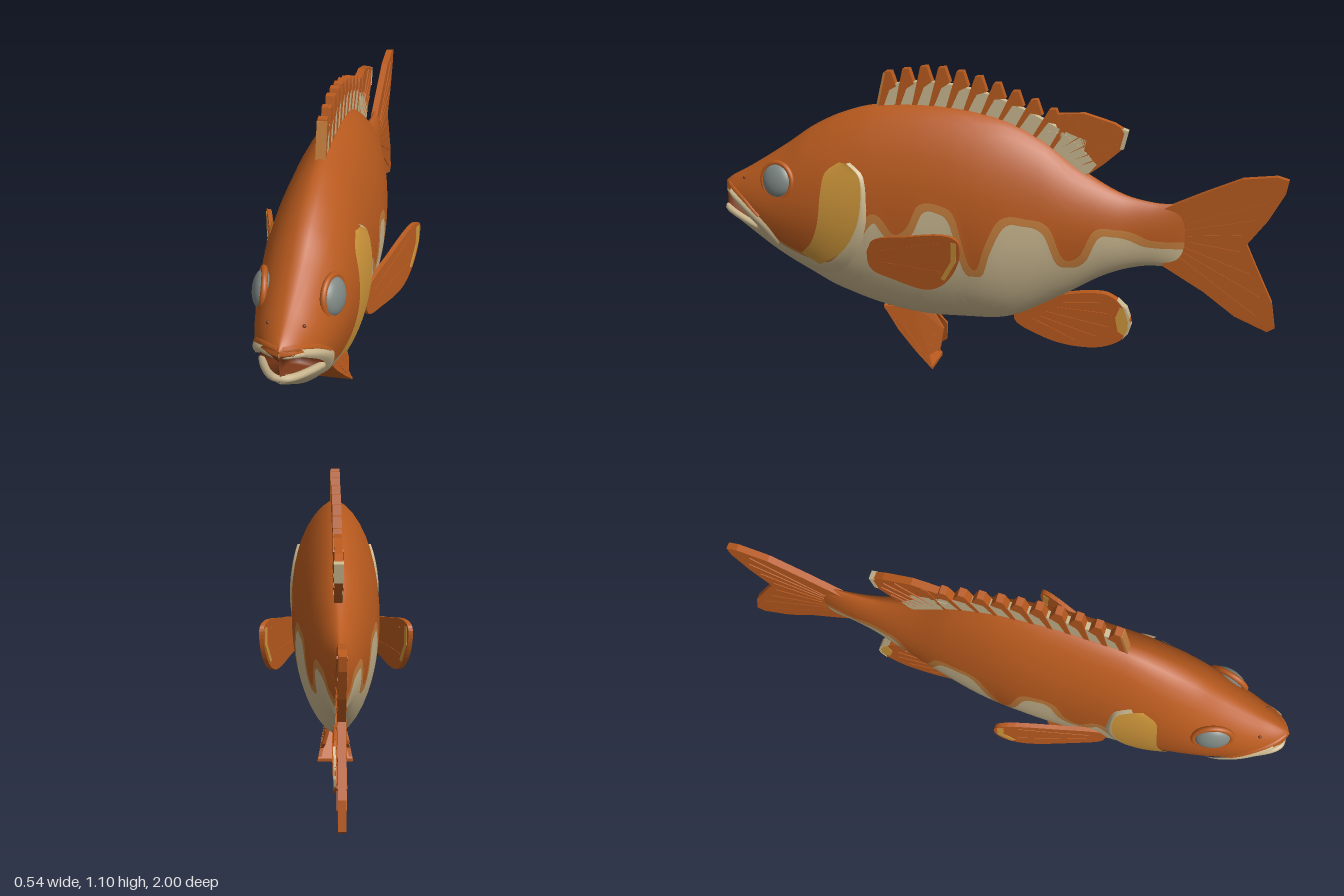
import * as THREE from 'three';

const mat = (name, color) => {
  const m = new THREE.MeshStandardMaterial({ color });
  m.name = name;
  return m;
};
const orange = mat('rust orange', 0xb85a1e);
const cream = mat('belly cream', 0xcab78f);
const tan = mat('tan border', 0xc17c3c);
const gold = mat('gill gold', 0xcd953a);
const dark = mat('mouth brown', 0x7a3818);
const grey = mat('eye grey', 0x7f8884);

// Smooth interpolation through [z, value] pairs sorted by z
function curve(pts) {
  const slope = (i) => {
    const a = pts[Math.max(i - 1, 0)], b = pts[Math.min(i + 1, pts.length - 1)];
    return (b[1] - a[1]) / (b[0] - a[0]);
  };
  return (z) => {
    if (z <= pts[0][0]) return pts[0][1];
    if (z >= pts[pts.length - 1][0]) return pts[pts.length - 1][1];
    let i = 0;
    while (z > pts[i + 1][0]) i++;
    const h = pts[i + 1][0] - pts[i][0], t = (z - pts[i][0]) / h, t2 = t * t, t3 = t2 * t;
    return (2 * t3 - 3 * t2 + 1) * pts[i][1] + (t3 - 2 * t2 + t) * h * slope(i)
      + (3 * t2 - 2 * t3) * pts[i + 1][1] + (t3 - t2) * h * slope(i + 1);
  };
}

// Body profile: back line, belly line, half width
const topY = curve([[-.7, .68], [-.64, .675], [-.56, .675], [-.45, .7], [-.32, .77], [-.18, .87], [-.02, .94],
  [.19, .968], [.41, .957], [.54, .92], [.65, .865], [.75, .795], [.89, .705], [.97, .66], [.995, .64]]);
const botY = curve([[-.7, .45], [-.64, .45], [-.53, .445], [-.4, .4], [-.235, .3], [-.07, .215], [.085, .198],
  [.25, .195], [.41, .22], [.57, .27], [.67, .32], [.78, .38], [.89, .455], [.97, .51], [.995, .53]]);
const halfW = curve([[-.7, .004], [-.64, .02], [-.5, .045], [-.4, .07], [-.2, .115], [0, .148], [.15, .158], [.35, .16],
  [.55, .157], [.65, .148], [.75, .132], [.85, .108], [.92, .08], [.97, .052], [.99, .025], [.995, .002]]);
// Lower edge of the orange, which becomes the upper lip at the mouth
const edgeY = curve([[-.7, .545], [-.56, .55], [-.5, .575], [-.45, .585], [-.37, .58], [-.325, .49], [-.27, .48],
  [-.225, .59], [-.15, .62], [-.06, .615], [-.01, .52], [.02, .43], [.05, .45], [.09, .61], [.13, .65], [.22, .65],
  [.26, .57], [.31, .54], [.36, .6], [.4, .6], [.46, .52], [.55, .42], [.65, .42], [.75, .46], [.84, .53], [.9, .58],
  [.97, .615], [1, .622]]);
const jawY = curve([[.82, .5], [.84, .505], [.9, .522], [.97, .543], [1, .552]]);
const MOUTH = 0.835;
const sideX = (z, y) => {
  const t = topY(z), b = botY(z), u = (2 * y - t - b) / (t - b);
  return halfW(z) * Math.pow(Math.max(0, 1 - u * u), 0.62);
};
// Lower edge of the tan border, an even distance from the orange
const borderY = (z) => {
  let y = 1;
  for (let d = -.018; d <= .0181; d += .006) y = Math.min(y, edgeY(z + d));
  return y - .024;
};

// Body lofted from rings; rows follow the colour border so that it stays clean
function makeBody() {
  const N = 170, UP = 9, LOW = 8, R = UP + LOW + 3, ring = 2 * R, pos = [];
  for (let i = 0; i <= N; i++) {
    const z = -.7 + 1.695 * i / N, t = topY(z), b = botY(z), e = edgeY(z);
    const e2 = z > MOUTH ? Math.min(e - .004, jawY(z)) : z > .42 ? e - .012 : borderY(z);
    const k = 1 - THREE.MathUtils.smoothstep(z, MOUTH, .9) * .95;
    const pts = [];
    for (let j = 0; j <= UP; j++) {
      const y = t + (e - t) * (1 - Math.cos(j / UP * Math.PI / 2));
      pts.push([j ? sideX(z, y) : 0, y]);
    }
    for (const f of [.25, .75]) {
      const y = e + (e2 - e) * f;
      pts.push([sideX(z, y) * k, y]);
    }
    for (let j = 0; j <= LOW; j++) {
      const y = e2 + (b - e2) * Math.sin(j / LOW * Math.PI / 2);
      pts.push([j < LOW ? sideX(z, y) : 0, y]);
    }
    for (let j = 0; j < ring; j++) {
      const p = j <= R ? pts[j] : pts[ring - j];
      pos.push(j <= R ? p[0] : -p[0], p[1], z);
    }
  }
  const faces = [[], [], [], []];
  for (let i = 0; i < N; i++) for (let j = 0; j < ring; j++) {
    const row = j < R ? j : ring - 1 - j, z = -.7 + 1.695 * i / N;
    const m = row < UP ? 0 : row >= UP + 3 ? 2 : z > MOUTH ? 3 : 1;
    const a = i * ring + j, b = i * ring + (j + 1) % ring;
    faces[m].push(a, a + ring, b, b, a + ring, b + ring);
  }
  const g = new THREE.BufferGeometry();
  g.setAttribute('position', new THREE.Float32BufferAttribute(pos, 3));
  g.setIndex(faces.flat());
  let start = 0;
  faces.forEach((f, m) => { g.addGroup(start, f.length, m); start += f.length; });
  g.computeVertexNormals();
  return new THREE.Mesh(g, [orange, tan, cream, dark]);
}

// Raised skin patch between two [z, y] outlines on one side of the body
function patch(front, back, lift, s) {
  const line = (p) => new THREE.SplineCurve(p.map((q) => new THREE.Vector2(...q)));
  const A = line(front), B = line(back), n = 28, m = 8, pos = [], idx = [];
  for (let i = 0; i <= n; i++) for (let j = 0; j <= m; j++) {
    const p = A.getPoint(i / n).lerp(B.getPoint(i / n), j / m);
    pos.push(s * (sideX(p.x, p.y) + lift(j / m)), p.y, p.x);
    if (i < n && j < m) {
      const a = i * (m + 1) + j, b = a + 1, c = a + m + 1, d = c + 1;
      idx.push(...(s > 0 ? [a, c, b, b, c, d] : [a, b, c, b, d, c]));
    }
  }
  const g = new THREE.BufferGeometry();
  g.setAttribute('position', new THREE.Float32BufferAttribute(pos, 3));
  g.setIndex(idx);
  g.computeVertexNormals();
  return g;
}

// Thin plate from a [z, y] outline, optionally rounded and bent sideways
function plate(pts, t, { round = false, bend = null } = {}) {
  let v = pts.map((p) => new THREE.Vector3(p[0], p[1], 0));
  if (round) v = new THREE.CatmullRomCurve3(v, true).getPoints(pts.length * 5).slice(0, -1);
  const g = new THREE.ExtrudeGeometry(new THREE.Shape(v.map((p) => new THREE.Vector2(p.x, p.y))),
    { depth: t, bevelEnabled: false });
  g.rotateY(-Math.PI / 2).translate(t / 2, 0, 0);
  if (bend) {
    const p = g.attributes.position;
    for (let i = 0; i < p.count; i++) p.setX(i, p.getX(i) + bend(p.getZ(i), p.getY(i)));
    g.computeVertexNormals();
  }
  return g;
}

export function createModel() {
  const model = new THREE.Group();
  const add = (name, geo, m) => {
    const mesh = new THREE.Mesh(geo, m);
    mesh.name = name;
    model.add(mesh);
    return mesh;
  };
  // Slim raised rays running from root to tip points
  const addRays = (name, pairs, t, bend) => pairs.forEach(([z0, y0, z1, y1]) => {
    const l = Math.hypot(z1 - z0, y1 - y0), nz = -(y1 - y0) / l * .004, ny = (z1 - z0) / l * .004;
    add(name, plate([[z0, y0], [z1 + nz, y1 + ny], [z1 - nz, y1 - ny]], t, { bend }), orange);
  });

  const body = makeBody();
  body.name = 'body';
  model.add(body);

  // Tail fin
  add('tailFin', plate([[-.6, .66], [-.72, .72], [-.85, .78], [-.96, .795], [-.998, .785], [-.99, .74], [-.94, .645],
    [-.875, .555], [-.91, .48], [-.97, .355], [-.985, .265], [-.96, .25], [-.85, .295], [-.74, .375], [-.6, .455]], .024), orange);
  addRays('tailRay', [[-.66, .62, -.92, .76], [-.67, .61, -.93, .7], [-.67, .59, -.9, .64], [-.68, .57, -.86, .585],
    [-.68, .55, -.86, .525], [-.67, .53, -.89, .45], [-.67, .51, -.93, .37], [-.66, .49, -.92, .3]], .03);

  // Spiny dorsal fin: pale membrane with slanted spines, orange towards the tips
  const tipY = curve([[-.35, .95], [-.22, .97], [-.1, 1.02], [.06, 1.075], [.22, 1.1], [.37, 1.075]]);
  const low = [], high = [];
  for (let z = .4; z > -.3; z -= .05) {
    low.push([z, topY(z) - .03]);
    high.unshift([z - .03, topY(z - .03) + (tipY(z - .03) - topY(z - .03)) * .6]);
  }
  add('dorsalMembrane', plate([...low, ...high], .026), cream);
  for (let i = 0; i < 11; i++) {
    const z = .405 - i * .06, tz = z - .03 - i * .004, y = tipY(tz), b = topY(z), mid = b + (y - b) * .45;
    add('dorsalSpine', plate([[z, b - .03], [tz, y], [tz - .022, y + .002], [tz - .04, y - .05],
      [(z + tz) / 2 - .03, mid], [z - .014, b - .03]], .03), orange);
  }
  add('dorsalLeadingEdge', plate([[.411, .94], [.38, 1.07], [.372, 1.07], [.403, .94]], .032), tan);
  // Soft rear dorsal lobe with a pale base and rim
  add('dorsalLobe', plate([[-.21, .96], [-.32, .968], [-.42, .94], [-.465, .915], [-.45, .855], [-.39, .8], [-.345, .765],
    [-.31, .75], [-.26, .84]], .026), orange);
  add('dorsalLobeBase', plate([[-.2, .9], [-.25, .9], [-.33, .835], [-.365, .795], [-.34, .765], [-.3, .75], [-.22, .82]], .03), cream);
  add('dorsalLobeRim', plate([[-.445, .925], [-.468, .917], [-.453, .853], [-.442, .856], [-.455, .91]], .03), cream);
  addRays('dorsalRay', [[-.25, .85, -.38, .94], [-.27, .83, -.42, .91], [-.29, .81, -.43, .87], [-.31, .79, -.4, .83]], .033);

  // Anal fin with a golden tip and a pale rear rim
  add('analFin', plate([[-.085, .21], [-.18, .155], [-.28, .13], [-.4, .135], [-.475, .175], [-.498, .22], [-.48, .285],
    [-.42, .33], [-.37, .335], [-.27, .32], [-.12, .28]], .03, { round: true }), orange);
  add('analFinTip', plate([[-.455, .2], [-.48, .185], [-.496, .22], [-.48, .282], [-.46, .29], [-.445, .25]], .034), gold);
  add('analFinRim', plate([[-.472, .172], [-.492, .195], [-.5, .222], [-.494, .255], [-.482, .287], [-.45, .315],
    [-.475, .285], [-.49, .24], [-.49, .21]], .036), cream);
  addRays('analRay', [[-.15, .22, -.3, .15], [-.18, .23, -.38, .17], [-.2, .25, -.42, .21], [-.23, .27, -.42, .26],
    [-.26, .29, -.39, .3]], .036);

  // Pelvic fins: a flaring front plate between two side blades
  const web = new THREE.BoxGeometry(.13, .012, .28);
  const wp = web.attributes.position;
  for (let i = 0; i < wp.count; i++) {
    const f = wp.getZ(i) > 0 ? 1 : 0;
    wp.setXYZ(i, wp.getX(i) * (f ? .25 : 1), wp.getY(i) + (f ? .21 : .007), f ? .4 : .205);
  }
  web.computeVertexNormals();
  add('pelvicWeb', web, orange);

  for (const s of [1, -1]) {
    const pelvic = (z, y) => s * (.012 + Math.max(0, .2 - y) * .25);
    add('pelvicFin', plate([[.4, .21], [.34, .13], [.27, .06], [.205, .003], [.22, .05], [.18, .08], [.172, .15],
      [.21, .2], [.28, .22]], .012, { bend: pelvic }), orange);
    addRays('pelvicRay', [[.34, .18, .25, .06], [.31, .18, .21, .08], [.28, .19, .2, .12]], .016, pelvic);

    // Pectoral fin swept back and outward
    const pectoral = (z) => s * (.145 + (.4 - z) * .33);
    add('pectoralFin', plate([[.4, .5], [.25, .55], [.085, .583], [.047, .567], [.05, .5], [.095, .42], [.165, .378],
      [.3, .385], [.4, .41]], .016, { round: true, bend: pectoral }), orange);
    add('pectoralEdge', plate([[.075, .565], [.054, .565], [.056, .5], [.1, .425], [.115, .43], [.075, .5]], .02,
      { bend: pectoral }), gold);
    addRays('pectoralRay', [[.36, .48, .12, .55], [.35, .44, .12, .45]], .019, pectoral);

    // Gill cover with a pale rim that widens towards the throat
    const outer = [[.48, .775], [.432, .735], [.422, .66], [.44, .56], [.5, .46], [.6, .39]];
    add('gillCover', patch([[.51, .775], [.56, .735], [.575, .66], [.588, .56], [.62, .48], [.67, .425]], outer,
      (t) => .002 + .007 * t, s), gold);
    add('gillRim', patch([...outer, [.74, .425]], [[.47, .777], [.42, .737], [.406, .655], [.41, .55], [.465, .43],
      [.57, .345], [.74, .385]], (t) => .0075 * Math.cos(t * Math.PI * .6) + .0015, s), cream);

    // Pale strip sloping back from the upper lip
    add('maxilla', patch([[.955, .602], [.88, .547], [.82, .487], [.78, .425]],
      [[.955, .628], [.88, .588], [.8, .525], [.755, .455]], (t) => .003 + .007 * Math.sin(t * Math.PI), s), cream);

    // Eye with a raised socket
    const eye = new THREE.Group();
    eye.name = 'eye';
    const ball = new THREE.Mesh(new THREE.SphereGeometry(.06, 28, 18), grey);
    ball.name = 'eyeball';
    ball.scale.z = .5;
    const socket = new THREE.Mesh(new THREE.TorusGeometry(.063, .01, 10, 32), orange);
    socket.name = 'eyeSocket';
    eye.add(ball, socket);
    eye.position.set(s * (sideX(.75, .685) - .004), .685, .75);
    eye.rotation.set(-.15, s * 1.3, 0, 'YXZ');
    model.add(eye);

    const nostril = add('nostril', new THREE.SphereGeometry(.006, 10, 8), dark);
    nostril.position.set(s * sideX(.9, .67), .67, .9);
  }

  // Lips running around the mouth from corner to corner
  const lip = (name, yAt, r, ahead, m) => {
    const pts = [];
    for (let i = -14; i <= 14; i++) {
      const z = .99 - .15 * Math.pow(Math.abs(i) / 14, 1.6), y = yAt(z);
      pts.push(new THREE.Vector3(Math.sign(i) * (sideX(z, y) - .004), y, z + ahead));
    }
    add(name, new THREE.TubeGeometry(new THREE.CatmullRomCurve3(pts), 60, r, 10), m);
  };
  lip('upperLip', (z) => edgeY(z) + .016, .013, -.012, orange);
  lip('upperLipEdge', (z) => edgeY(z) - .003, .01, -.01, cream);
  lip('lowerLip', (z) => jawY(z) - .004, .012, -.002, cream);

  return model;
}
